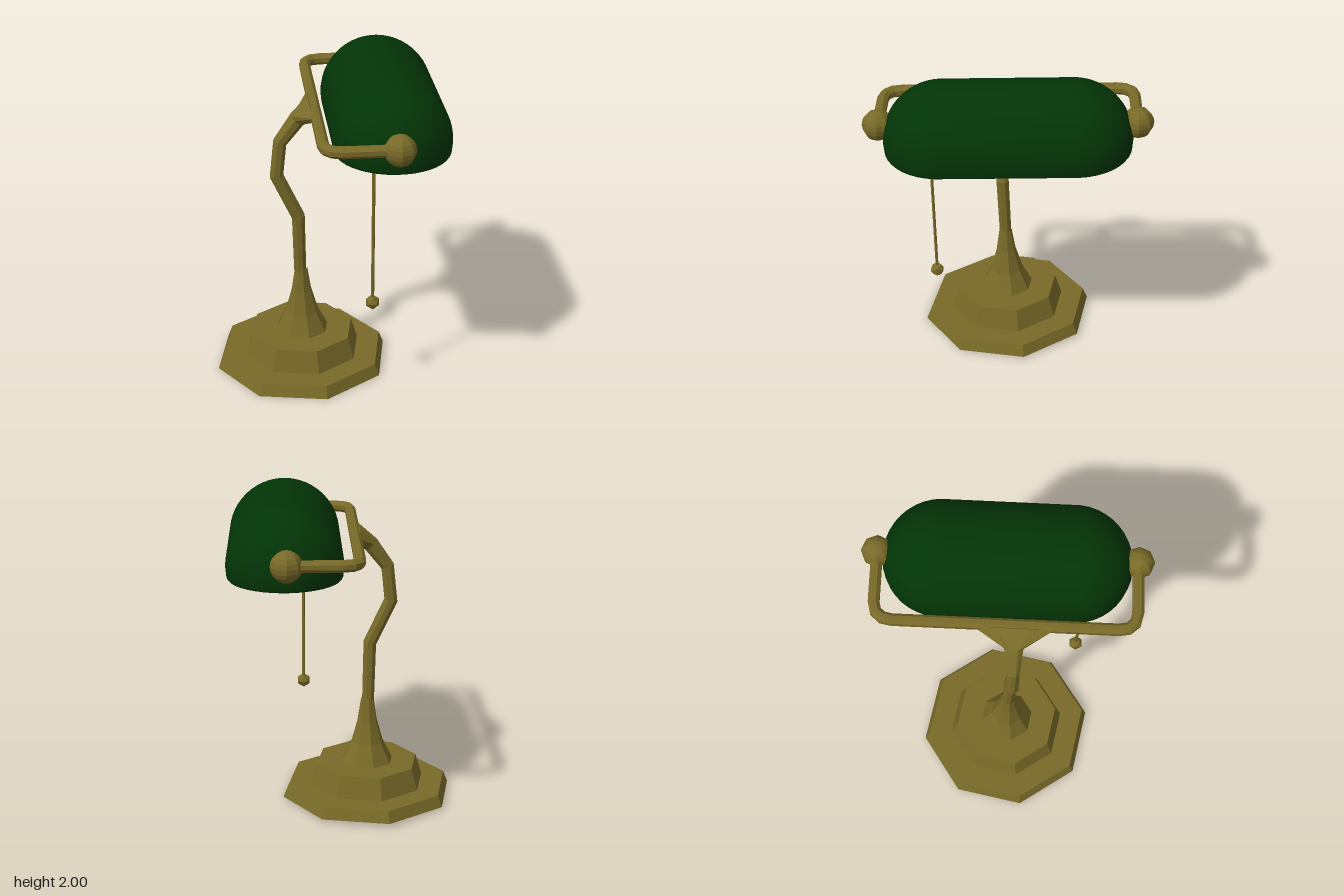
import * as THREE from 'three';

const mat = (name, color) => {
  const m = new THREE.MeshStandardMaterial({ color });
  m.name = name;
  return m;
};

// Faceted version of a geometry
function faceted(geo) {
  const g = geo.index ? geo.toNonIndexed() : geo;
  g.computeVertexNormals();
  return g;
}

const lathe = (pts, sides, phase = 0) =>
  new THREE.LatheGeometry(pts.map(([r, y]) => new THREE.Vector2(r, y)), sides, phase);

// Capped rod through stations [point, radius in plane, radius across]; the path lies in a plane with normal b
function sweep(stations, b, sides = 8) {
  const pos = [], idx = [], n = stations.length;
  const P = stations.map(s => new THREE.Vector3(...s[0]));
  P.forEach((p, i) => {
    const before = P[i].clone().sub(P[Math.max(i - 1, 0)]).normalize();
    const after = P[Math.min(i + 1, n - 1)].clone().sub(P[i]).normalize();
    const t = before.clone().add(after).normalize();
    const miter = 1 / Math.max(t.dot(i ? before : after), 0.5);
    const side = b.clone().cross(t);
    for (let j = 0; j < sides; j++) {
      const a = ((j + 0.5) / sides) * Math.PI * 2;
      const v = p.clone().addScaledVector(side, Math.cos(a) * stations[i][1] * miter)
        .addScaledVector(b, Math.sin(a) * stations[i][2]);
      pos.push(v.x, v.y, v.z);
    }
  });
  for (let i = 0; i < n - 1; i++) for (let j = 0; j < sides; j++) {
    const k = (j + 1) % sides, A = i * sides, B = A + sides;
    idx.push(A + j, A + k, B + k, A + j, B + k, B + j);
  }
  const end = (n - 1) * sides;
  for (let j = 1; j < sides - 1; j++) idx.push(0, j + 1, j, end, end + j, end + j + 1);
  const g = new THREE.BufferGeometry();
  g.setAttribute('position', new THREE.Float32BufferAttribute(pos, 3));
  g.setIndex(idx);
  return faceted(g);
}

export function createModel() {
  const brass = mat('brass', 0x786a28);
  const green = mat('green glass', 0x033406);
  const yellow = mat('bulb yellow', 0xe8d41c);

  // Lamp frame: x runs along the shade, z points away from the shade
  const turn = 0.994;
  const lamp = new THREE.Group();
  lamp.name = 'deskLamp';
  lamp.position.set(-0.22, 0.011, 0.222);
  lamp.rotation.set(0, -turn, -0.02);

  const add = (name, geo, material, parent = lamp, x = 0, y = 0, z = 0) => {
    const m = new THREE.Mesh(geo, material);
    m.name = name;
    m.position.set(x, y, z);
    parent.add(m);
    return m;
  };

  // Stepped octagonal base with its trumpet-shaped foot
  const base = add('base', faceted(lathe([
    [0, 0], [0.552, 0], [0.522, 0.073], [0.372, 0.073], [0.33, 0.212], [0, 0.212],
  ], 8)), brass);
  base.rotation.y = turn;
  const foot = add('foot', faceted(lathe([
    [0.17, 0.21], [0.105, 0.34], [0.063, 0.49], [0.04, 0.64],
  ], 8)), brass);
  foot.rotation.y = turn;

  // Bent stem that flares into the crossbar
  add('stem', sweep([
    [[0, 0.62, 0.005], 0.04, 0.04], [[0.01, 1.0, 0.013], 0.042, 0.042],
    [[0.01, 1.28, 0.142], 0.042, 0.042], [[0.01, 1.5, 0.118], 0.042, 0.042],
    [[0.005, 1.64, 0.015], 0.05, 0.06], [[0, 1.725, -0.08], 0.035, 0.26],
  ], new THREE.Vector3(1, 0, 0)), brass);

  const head = new THREE.Group();
  head.name = 'head';
  head.position.set(-0.05, 0, 0);
  lamp.add(head);

  // Fork holding the shade, with a ball at each end
  const barY = 1.722, shadeZ = -0.519;
  const half = [[0.65, -0.09], [0.705, -0.1], [0.745, -0.135], [0.76, -0.195], [0.762, -0.5]];
  const path = [...half.map(([x, z]) => [-x, z]).reverse(), ...half];
  add('fork', sweep(path.map(([x, z]) => [[x, barY, z], 0.036, 0.036]),
    new THREE.Vector3(0, 1, 0)), brass, head);
  for (const s of [-1, 1]) {
    add('endBall', faceted(new THREE.SphereGeometry(0.094, 8, 10)), brass, head, s * 0.762, barY, -0.51);
  }

  // Shade: thick-walled dome, pulled apart along x into a capsule
  const R = 0.35, T = 0.065, rise = 1.632, profile = [], steps = 14;
  for (let i = 0; i <= steps; i++) {
    const a = (1 - i / steps) * Math.PI / 2, r = R - T;
    profile.push([Math.max(r * Math.cos(a), 1e-6), rise + r * Math.sin(a)]);
  }
  profile.push([R - T, 1.57], [R - T + 0.006, 1.558], [R - 0.014, 1.556], [R - 0.006, 1.568]);
  for (let i = 0; i <= steps; i++) {
    const a = (i / steps) * Math.PI / 2;
    profile.push([Math.max(R * Math.cos(a), 1e-6), rise + R * Math.sin(a)]);
  }
  const sides = 40;
  const dome = lathe(profile, sides, Math.PI / sides);
  const p = dome.attributes.position;
  for (let i = 0; i < p.count; i++) p.setX(i, p.getX(i) + Math.sign(p.getX(i)) * 0.386);
  add('shade', dome, green, head, 0, 0, shadeZ);

  // Bulb and socket lying along the shade
  const socket = add('socket', faceted(new THREE.CylinderGeometry(0.075, 0.09, 0.16, 8)), brass, head, 0.49, 1.69, -0.5);
  socket.rotation.z = Math.PI / 2;
  const bulb = add('bulb', faceted(lathe([
    [0.07, 0], [0.105, 0.06], [0.122, 0.15], [0.122, 0.36], [0.1, 0.44], [0.06, 0.48], [0, 0.49],
  ], 12)), yellow, head, 0.44, 1.69, -0.5);
  bulb.rotation.z = Math.PI / 2;

  // Pull chain with a faceted knob
  add('pullChain', faceted(new THREE.CylinderGeometry(0.01, 0.01, 1.07, 6)), brass, head, 0.475, 1.155, -0.4);
  add('pullKnob', new THREE.IcosahedronGeometry(0.046, 0), brass, head, 0.475, 0.605, -0.4);

  const model = new THREE.Group();
  model.name = 'bankersLamp';
  model.add(lamp);
  return model;
}
